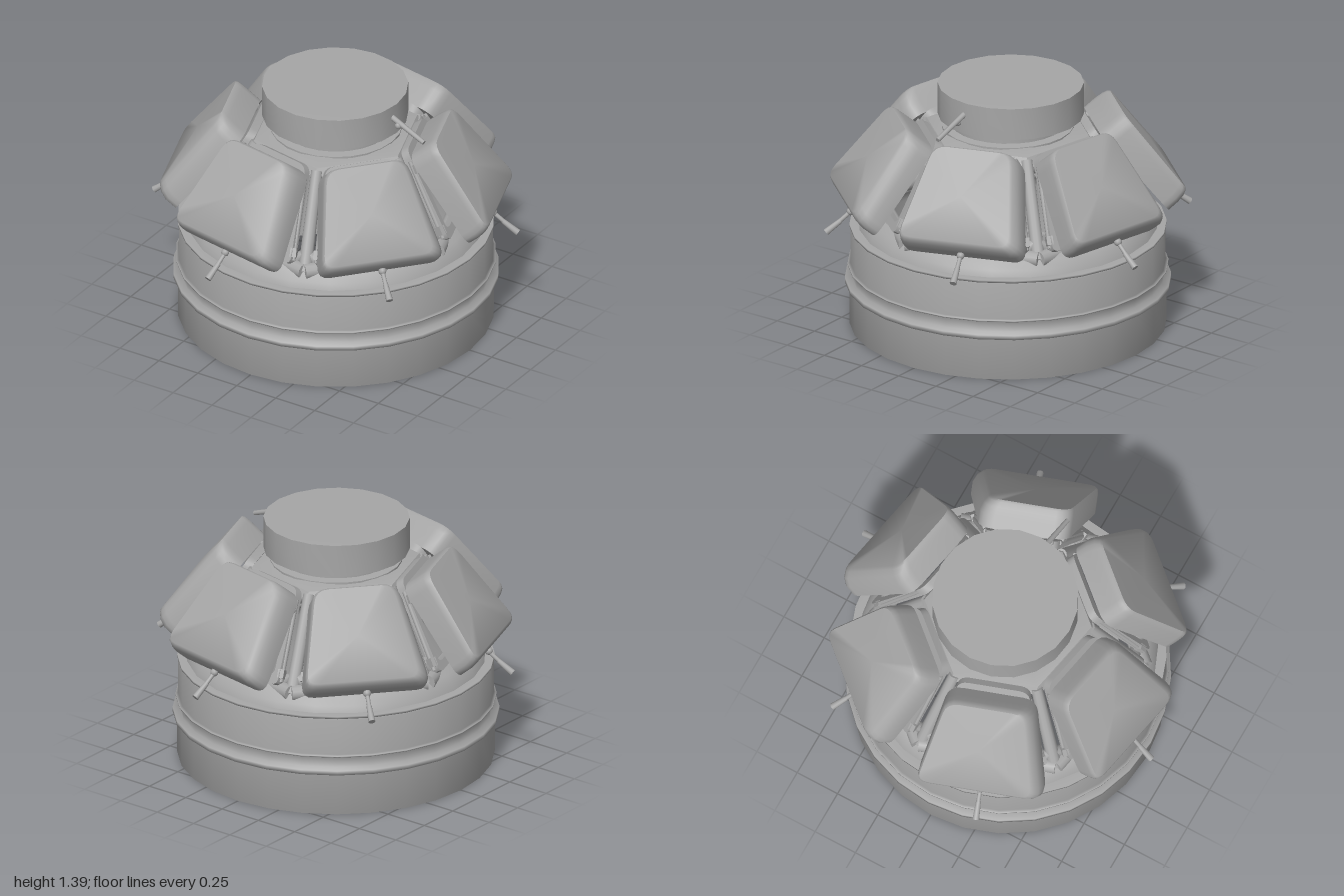
import * as THREE from 'three';
import { toCreasedNormals } from 'three/addons/utils/BufferGeometryUtils.js';

const START = -10.8 * Math.PI / 180;   // azimuth of the first window bay
const STEP = Math.PI / 3;
const TILT = 0.69;                     // lean of the shutters

export function createModel() {
  const model = new THREE.Group();
  const grey = new THREE.MeshStandardMaterial({ color: 0xa6a6a6 });
  grey.name = 'hull grey';
  const v = (x, y, z) => new THREE.Vector3(x, y, z);

  function add(parent, name, geometry) {
    const mesh = new THREE.Mesh(geometry, grey);
    mesh.name = name;
    parent.add(mesh);
    return mesh;
  }

  function lathe(points, sides, phi = 0) {
    return new THREE.LatheGeometry(points.map(p => new THREE.Vector2(...p)), sides, phi);
  }

  // round bar between two points
  function bar(parent, name, a, b, r0, r1 = r0, sides = 10) {
    const mesh = add(parent, name, new THREE.CylinderGeometry(r1, r0, a.distanceTo(b), sides));
    mesh.position.copy(a).lerp(b, 0.5);
    mesh.quaternion.setFromUnitVectors(v(0, 1, 0), b.clone().sub(a).normalize());
    return mesh;
  }

  // trapezoid outline with rounded corners
  function trapezoid(bottom, top, height, r) {
    const c = [[-bottom, 0], [bottom, 0], [top, height], [-top, height]].map(p => new THREE.Vector2(...p));
    const s = new THREE.Shape();
    c.forEach((p, i) => {
      const toward = q => p.clone().add(q.clone().sub(p).setLength(r));
      const a = toward(c[(i + 3) % 4]), b = toward(c[(i + 1) % 4]);
      if (i) s.lineTo(a.x, a.y); else s.moveTo(a.x, a.y);
      s.quadraticCurveTo(p.x, p.y, b.x, b.y);
    });
    s.closePath();
    return s;
  }

  // shutter: outline lofted through the thickness, thicker at the top,
  // with a wide bevel along its +x side and a crisp edge elsewhere
  function shutterGeometry() {
    const height = 0.565, mid = height / 2;
    const ring = trapezoid(0.355, 0.24, height, 0.075).getPoints(4);
    if (ring[0].distanceTo(ring[ring.length - 1]) < 1e-6) ring.pop();
    const levels = [[0, 1, 1], [0.45, 1, 1], [0.75, 0.94, 1], [0.93, 0.86, 0.99], [1, 0.8, 0.965]];
    const n = ring.length, pos = [], idx = [];
    for (const [t, bevel, k] of levels)
      for (const p of ring) {
        const low = p.y < mid ? 0.5 + 0.5 * bevel * k : k;
        pos.push(p.x * (p.x > 0 ? bevel : k), mid + (p.y - mid) * low, t * (0.15 + 0.02 * p.y / height));
      }
    pos.push(0, mid, 0, -0.03, mid, 0.17);
    const back = levels.length * n, front = back + 1, last = (levels.length - 1) * n;
    for (let i = 0; i < n; i++) {
      const j = (i + 1) % n;
      for (let l = 0; l < levels.length - 1; l++) {
        const a = l * n + i, b = l * n + j;
        idx.push(a, b, b + n, a, b + n, a + n);
      }
      idx.push(back, j, i, front, last + i, last + j);
    }
    const g = new THREE.BufferGeometry();
    g.setAttribute('position', new THREE.Float32BufferAttribute(pos, 3));
    g.setIndex(idx);
    return toCreasedNormals(g, 0.8);
  }

  // hollow round base with its flanges
  add(model, 'baseRing', lathe([
    [0.80, 0], [0.86, 0], [0.86, 0.235], [0.885, 0.24], [0.885, 0.265], [0.85, 0.275],
    [0.85, 0.335], [0.87, 0.338], [0.87, 0.345], [0.855, 0.35], [0.855, 0.55],
    [0.82, 0.56], [0.74, 0.56], [0.78, 0.52], [0.815, 0.46], [0.815, 0.25], [0.80, 0]
  ], 28));
  add(model, 'upperFlange', lathe([
    [0.72, 0.562], [0.86, 0.562], [0.86, 0.575], [0.72, 0.575], [0.72, 0.562]
  ], 28));

  // sloping round collar below the windows, and the six-sided roof ring
  add(model, 'collar', toCreasedNormals(lathe([
    [0.72, 0.57], [0.815, 0.57], [0.80, 0.61], [0.765, 0.65], [0.72, 0.68], [0.68, 0.665], [0.72, 0.57]
  ], 24), 0.8));
  add(model, 'roofRing', toCreasedNormals(lathe([
    [0, 1.08], [0.44, 1.08], [0.49, 1.09], [0.46, 1.13], [0.38, 1.145], [0, 1.145]
  ], 6, START + STEP / 2), 0.5));

  // neck and round top cover
  add(model, 'neck', toCreasedNormals(lathe([
    [0.36, 1.13], [0.36, 1.15], [0.31, 1.155], [0.31, 1.185], [0.33, 1.19], [0.33, 1.22]
  ], 24), 0.6));
  const topCover = add(model, 'topCover', toCreasedNormals(lathe([
    [0, 1.21], [0.397, 1.21], [0.397, 1.39], [0, 1.393]
  ], 20), 0.7));
  topCover.position.set(-0.012, 0, -0.01);
  bar(model, 'coverHandle', v(0.37, 1.32, 0.02), v(0.59, 1.235, 0.04), 0.016, 0.013);
  const coverKnob = add(model, 'coverKnob', new THREE.SphereGeometry(0.02, 10, 8));
  coverKnob.position.set(0.42, 1.285, 0.03);

  // window frame shared by the bays
  const frameShape = trapezoid(0.325, 0.19, 0.53, 0.05);
  const opening = trapezoid(0.275, 0.155, 0.44, 0.05).getPoints(4).map(p => p.add(new THREE.Vector2(0, 0.045)));
  frameShape.holes.push(new THREE.Path(opening));
  const frame = toCreasedNormals(new THREE.ExtrudeGeometry(frameShape, {
    depth: 0.045, bevelEnabled: false, curveSegments: 4
  }), 0.6);
  const shutter = shutterGeometry();

  for (let i = 0; i < 6; i++) {
    const bay = new THREE.Group();
    bay.name = 'windowBay' + (i + 1);
    bay.rotation.y = START + i * STEP;
    model.add(bay);

    const windowFrame = add(bay, 'windowFrame', frame);
    windowFrame.position.set(0, 0.67, 0.67);
    windowFrame.rotation.x = -0.53;
    bar(bay, 'sillBar', v(-0.375, 0.65, 0.65), v(0.375, 0.65, 0.65), 0.045, 0.045, 12);

    const cover = add(bay, 'shutter', shutter);
    cover.position.set(0, 0.69, 0.825);
    cover.rotation.x = -TILT;

    // shutter crank below each window
    bar(bay, 'crankRod', v(0, 0.75, 0.83), v(0, 0.655, 0.945), 0.012);
    bar(bay, 'crankGrip', v(0, 0.665, 0.93), v(0, 0.605, 1.012), 0.014, 0.019);
    const joint = add(bay, 'crankJoint', new THREE.SphereGeometry(0.022, 10, 8));
    joint.position.set(0, 0.715, 0.875);

    // corner post between two bays, with a slim rail on each side
    const corner = new THREE.Group();
    corner.name = 'cornerPost';
    corner.rotation.y = STEP / 2;
    bay.add(corner);
    bar(corner, 'post', v(0, 0.64, 0.74), v(0, 1.11, 0.45), 0.038, 0.032, 12);
    for (const s of [-1, 1]) {
      bar(corner, 'rail', v(s * 0.065, 0.7, 0.735), v(s * 0.055, 1.09, 0.5), 0.013);
      bar(corner, 'postFoot', v(0, 0.73, 0.69), v(s * 0.11, 0.65, 0.69), 0.028, 0.035);
      for (const k of [0.1, 0.9]) {
        const hinge = add(corner, 'hinge', new THREE.BoxGeometry(0.035, 0.05, 0.045));
        hinge.position.set(s * 0.065, 0.7 + 0.39 * k, 0.74 - 0.235 * k);
        hinge.rotation.x = -0.54;
      }
    }
  }

  // equipment inside the base: name, size, position, turn
  const equipment = [
    ['sidePanel', [0.03, 0.13, 0.92], [-0.62, 0.2, 0.03], 0.16],
    ['sidePanelBox', [0.06, 0.08, 0.24], [-0.6, 0.2, 0.02], 0.16],
    ['consoleTray', [0.42, 0.03, 0.34], [0.2, 0.36, 0.42], 0.78],
    ['consoleBox', [0.16, 0.14, 0.12], [-0.15, 0.3, 0.58], 0.4],
    ['consoleScreen', [0.2, 0.14, 0.03], [-0.02, 0.26, 0.66], -0.3],
    ['consoleBracket', [0.34, 0.04, 0.06], [0.1, 0.2, 0.73], 0.2]
  ];
  for (const [name, size, at, turn] of equipment) {
    const box = add(model, name, new THREE.BoxGeometry(...size));
    box.position.set(...at);
    box.rotation.y = turn;
  }
  bar(model, 'consoleArm', v(-0.1, 0.2, 0.76), v(0.15, 0.36, 0.5), 0.022);

  return model;
}
